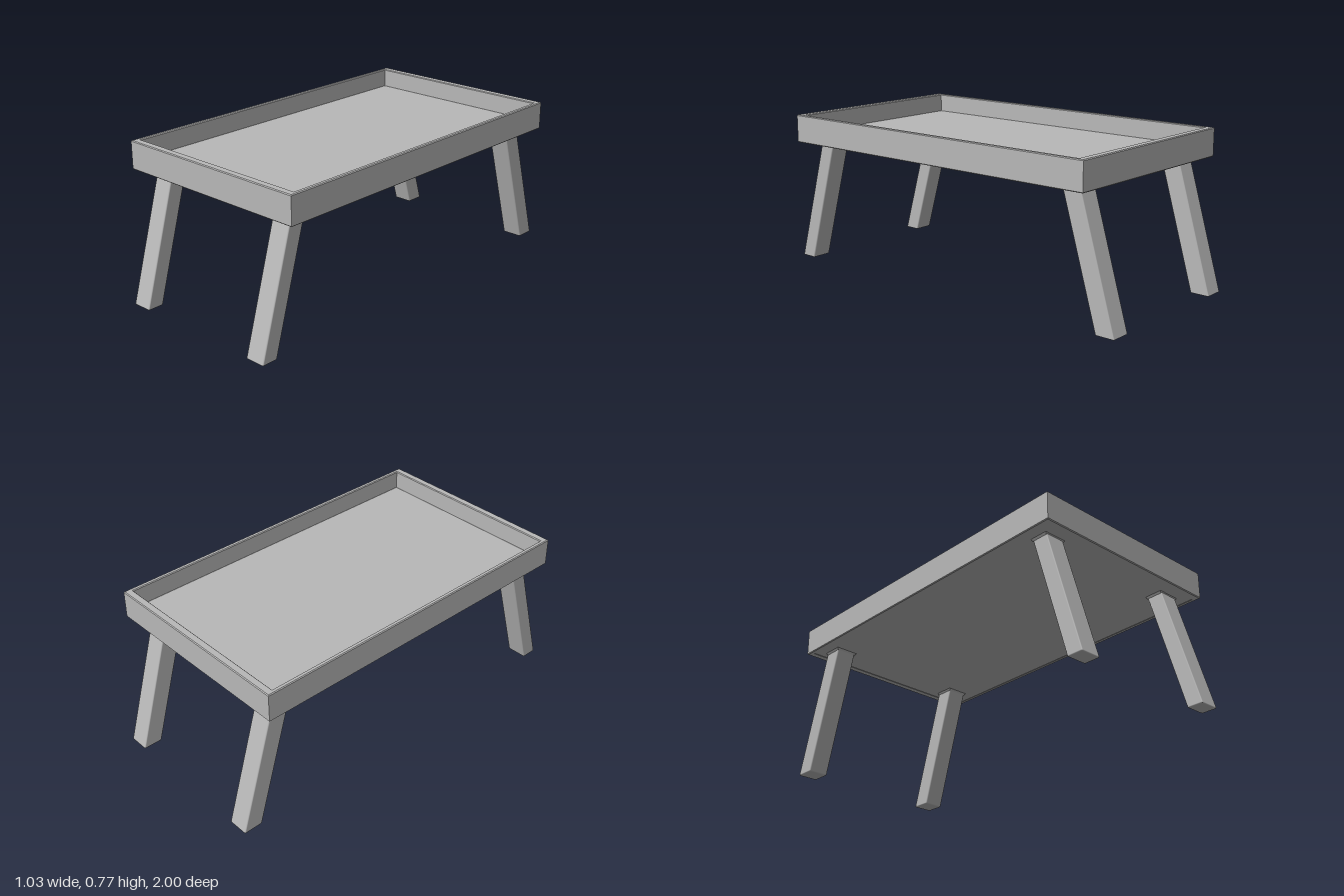
import * as THREE from 'three';
import { RoundedBoxGeometry } from 'three/addons/geometries/RoundedBoxGeometry.js';

const grey = new THREE.MeshStandardMaterial({ color: 0xb8b8b8 });
grey.name = 'plain grey';

// Traces a rectangle, centred on x = 0 and shifted along the second axis
function rect(path, halfX, halfY, cy) {
  path.moveTo(-halfX, cy - halfY);
  path.lineTo(halfX, cy - halfY);
  path.lineTo(halfX, cy + halfY);
  path.lineTo(-halfX, cy + halfY);
  path.closePath();
  return path;
}

// Horizontal rectangular ring with chamfered edges, from y0 to y1
function ring(outer, inner, y0, y1, bevel) {
  const cy = -0.005;
  const shape = rect(new THREE.Shape(), outer[0], outer[1], cy);
  shape.holes.push(rect(new THREE.Path(), inner[0], inner[1], cy));
  const geo = new THREE.ExtrudeGeometry(shape, {
    depth: y1 - y0 - 2 * bevel, bevelEnabled: true, bevelSegments: 1,
    bevelThickness: bevel, bevelSize: bevel, bevelOffset: -bevel,
  });
  geo.translate(0, 0, y0 + bevel);
  geo.rotateX(-Math.PI / 2);
  return geo;
}

export function createModel() {
  const group = new THREE.Group();
  const add = (name, geo) => {
    const mesh = new THREE.Mesh(geo, grey);
    mesh.name = name;
    group.add(mesh);
    return mesh;
  };

  // Tray top: raised rim, floor panel and a narrow bead where they meet
  add('trayRim', ring([0.517, 0.895], [0.495, 0.857], 0.63, 0.77, 0.004));
  add('trayFloor', new THREE.BoxGeometry(1.0, 0.036, 1.73)).position.set(0, 0.65, 0.005);
  add('floorBead', ring([0.5, 0.862], [0.485, 0.847], 0.655, 0.677, 0.008));

  // Splayed legs: upright blocks sheared along z so both ends stay level
  const height = 0.645;
  for (const [end, bottomZ, topZ, depth] of [
    ['front', 0.958, 0.774, 0.084],
    ['back', -0.951, -0.763, 0.098],
  ]) {
    const slope = (topZ - bottomZ) / 0.63;
    const shear = new THREE.Matrix4().set(
      1, 0, 0, 0,
      0, 1, 0, 0,
      0, slope, 1, bottomZ,
      0, 0, 0, 1);
    for (const [side, x] of [['Right', -0.39], ['Left', 0.378]]) {
      const leg = new RoundedBoxGeometry(0.104, height, depth, 1, 0.006);
      leg.translate(x, height / 2, 0);
      leg.applyMatrix4(shear);
      add(`${end}${side}Leg`, leg);

      // Small flared collar under the tray
      const collar = new THREE.CylinderGeometry(Math.SQRT1_2, Math.SQRT1_2 * 0.88, 0.01, 4, 1);
      collar.rotateY(Math.PI / 4);
      collar.scale(0.118, 1, depth + 0.008);
      const flat = collar.toNonIndexed();
      flat.computeVertexNormals();
      add(`${end}${side}Collar`, flat).position.set(x, 0.627, topZ);
    }
  }
  return group;
}
